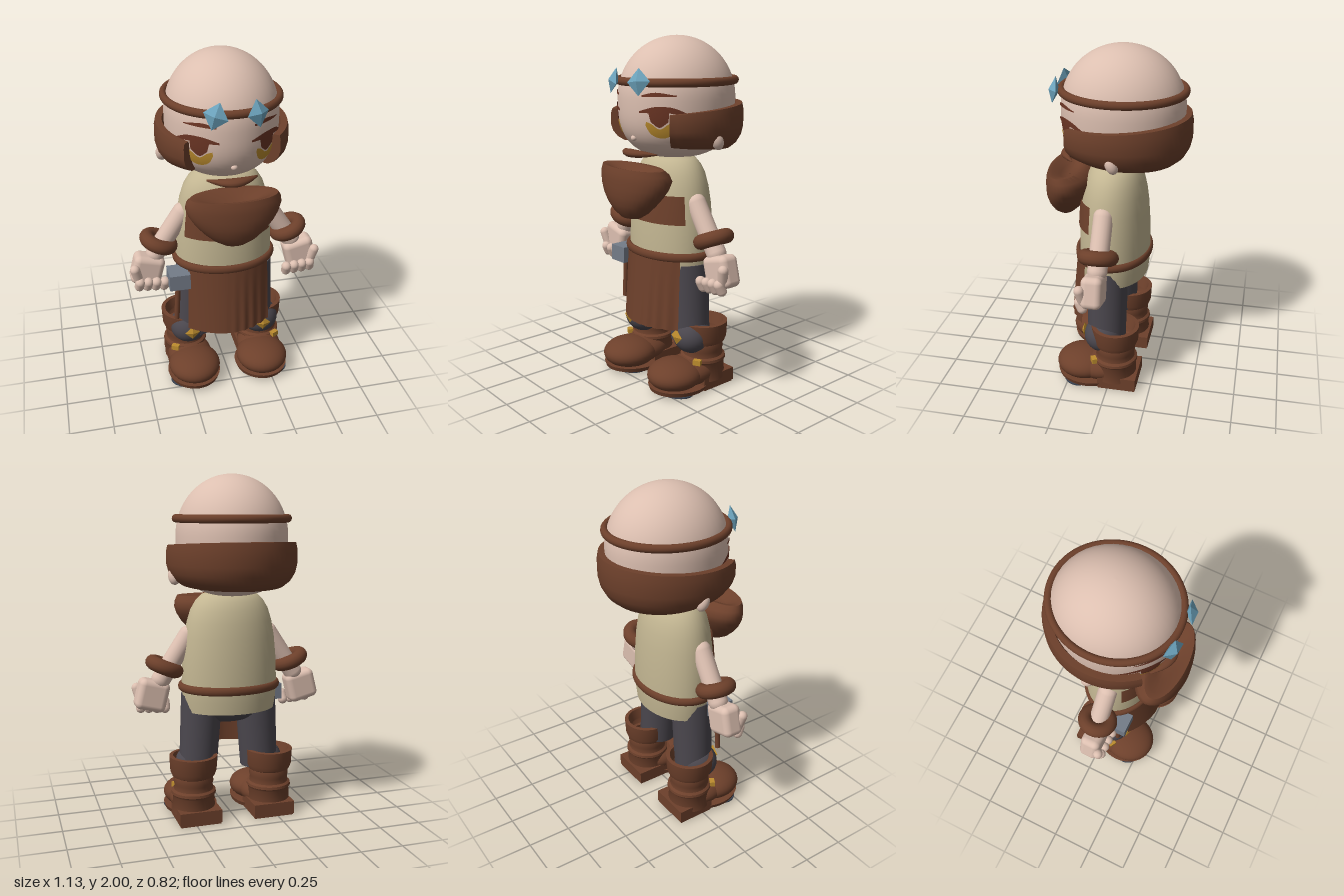
import * as THREE from 'three';
import { toCreasedNormals } from 'three/addons/utils/BufferGeometryUtils.js';
import { RoundedBoxGeometry } from 'three/addons/geometries/RoundedBoxGeometry.js';

const material = (name, color, side = THREE.FrontSide) => {
  const m = new THREE.MeshStandardMaterial({ color, side });
  m.name = name;
  return m;
};
const V = (x, y, z) => new THREE.Vector3(x, y, z);
const lerp = THREE.MathUtils.lerp;

// Surface through a grid of points; rows may be closed rings with capped ends
function loft(rows, { ring = false, caps = false, crease = 0.7 } = {}) {
  const n = rows[0].length, pos = [], idx = [];
  rows.forEach(r => r.forEach(p => pos.push(p.x, p.y, p.z)));
  for (let i = 0; i < rows.length - 1; i++) {
    for (let j = 0; j < (ring ? n : n - 1); j++) {
      const a = i * n + j, b = i * n + (j + 1) % n;
      idx.push(a, b, a + n, b, b + n, a + n);
    }
  }
  if (caps) {
    const e = (rows.length - 1) * n;
    for (let j = 1; j < n - 1; j++) idx.push(0, j + 1, j, e, e + j, e + j + 1);
  }
  const g = new THREE.BufferGeometry();
  g.setAttribute('position', new THREE.Float32BufferAttribute(pos, 3));
  g.setIndex(idx);
  return toCreasedNormals(g, crease);
}

const lathe = (pts, start = 0, len = Math.PI * 2) =>
  new THREE.LatheGeometry(pts.map(p => new THREE.Vector2(p[0], p[1])), 40, start, len);

// Head: round crown, fuller jaw
const HEAD = { y: 1.66, z: -0.03, rx: 0.315, ry: 0.34, rz: 0.345 };
const headProfile = t => t > 0 ? Math.sqrt(Math.max(0, 1 - t * t))
  : Math.pow(Math.max(0, 1 - Math.pow(-t, 3)), 0.4);
const headZ = (x, y) => {
  const s = headProfile((y - HEAD.y) / HEAD.ry);
  return HEAD.z + HEAD.rz * Math.sqrt(Math.max(0, s * s - (x / HEAD.rx) ** 2));
};

// Thin painted patch between two curves, wrapped on the face
function facePatch(top, bottom, s) {
  const curve = pts => new THREE.CatmullRomCurve3(pts.map(p => V(p[0], p[1], 0)));
  const a = curve(top), b = curve(bottom), rows = [];
  for (let i = 0; i <= 16; i++) {
    const p = a.getPoint(i / 16), q = b.getPoint(i / 16), row = [];
    for (let j = 0; j <= 5; j++) {
      const x = lerp(p.x, q.x, j / 5), y = lerp(p.y, q.y, j / 5);
      row.push(V(x * s, y, headZ(x, y) + 0.006));
    }
    rows.push(row);
  }
  return loft(rows, { crease: 1.5 });
}

export function createModel() {
  const D = THREE.DoubleSide;
  const skin = material('skin', 0xdcbfb0), leather = material('leather brown', 0x6d402b, D);
  const cloth = material('tunic cloth', 0xc3b692, D), trouser = material('trouser grey', 0x4b474e);
  const gold = material('gold', 0xbd8d2e, D), crystal = material('crystal blue', 0x6ca3bc);
  const iron = material('iron grey', 0x747c88), eyeBrown = material('eye brown', 0x6b3524, D);
  const soleBlue = material('sole blue', 0x3a4352);
  crystal.flatShading = true;

  const root = new THREE.Group();
  const add = (name, geo, mat, p = [0, 0, 0], r = [0, 0, 0], sc = [1, 1, 1]) => {
    const m = new THREE.Mesh(geo, mat);
    m.name = name;
    m.position.set(...p);
    m.rotation.set(...r);
    m.scale.set(...sc);
    root.add(m);
    return m;
  };
  const ball = (name, mat, p, sc, r) => add(name, new THREE.SphereGeometry(1, 32, 20), mat, p, r, sc);

  // Head and nose
  const headPts = [];
  for (let i = 0; i <= 40; i++) {
    const t = -Math.cos(Math.PI * i / 40);
    headPts.push([headProfile(t), t]);
  }
  add('head', lathe(headPts), skin, [0, HEAD.y, HEAD.z], [0, 0, 0], [HEAD.rx, HEAD.ry, HEAD.rz]);
  ball('nose', skin, [0, 1.45, headZ(0, 1.45)], [0.018, 0.016, 0.016]);

  // Hair band wrapping the back of the head
  const hairRows = [];
  const section = [[0.72, 0], [0.8, 0], [0.9, 0.12], [0.97, 0.3], [1, 0.5], [1, 0.85], [0.98, 1], [0.88, 1]];
  for (let i = 0; i <= 48; i++) {
    const a = lerp(0.78, Math.PI * 2 - 0.78, i / 48), back = Math.sin(Math.PI * i / 48);
    const lo = lerp(1.41, 1.37, back), hi = lerp(1.59, 1.635, back);
    hairRows.push(section.map(([k, f]) =>
      V(0.37 * k * Math.sin(a), lerp(lo, hi, f), -0.03 + 0.385 * k * Math.cos(a))));
  }
  add('hair', loft(hairRows, { ring: true, caps: true }), leather);

  // Headband with two crystals
  add('headband', new THREE.TorusGeometry(0.315, 0.02, 12, 64).rotateX(Math.PI / 2), leather,
    [0, 1.755, -0.03], [0, 0, 0], [1, 1.15, 1.08]);
  for (const s of [1, -1]) {
    add('headbandCrystal', new THREE.OctahedronGeometry(1), crystal,
      [s * 0.11, 1.76, 0.33], [-0.2, s * 0.4, s > 0 ? 0.15 : -0.35], [0.068, 0.074, 0.03]);
  }

  // Ears and face paint
  for (const s of [1, -1]) {
    ball('ear', skin, [s * 0.335, 1.44, -0.03], [0.035, 0.052, 0.034], [0.4, 0, 0]);
    add('eyebrow', facePatch([[0.1, 1.69], [0.17, 1.705], [0.25, 1.69]],
      [[0.1, 1.68], [0.17, 1.683], [0.25, 1.685]], s), eyeBrown);
    add('eyelash', facePatch([[0.085, 1.605], [0.17, 1.63], [0.24, 1.625], [0.285, 1.59]],
      [[0.085, 1.595], [0.17, 1.597], [0.24, 1.595], [0.28, 1.58]], s), eyeBrown);
    add('iris', facePatch([[0.135, 1.6], [0.18, 1.6], [0.225, 1.6]],
      [[0.145, 1.55], [0.18, 1.52], [0.22, 1.55]], s), eyeBrown);
    add('irisGlow', facePatch([[0.12, 1.55], [0.145, 1.54], [0.18, 1.51], [0.22, 1.54], [0.24, 1.55]],
      [[0.115, 1.53], [0.135, 1.48], [0.178, 1.46], [0.22, 1.48], [0.245, 1.53]], s), gold);
  }

  // Moustache: tapered bar
  const barRows = [];
  for (let i = 0; i <= 20; i++) {
    const x = lerp(-0.14, 0.14, i / 20), k = 1 - (x / 0.14) ** 2, row = [];
    for (let j = 0; j < 12; j++) {
      const a = Math.PI * j / 6;
      row.push(V(x, 1.368 + (0.004 + 0.019 * k) * Math.sin(a), 0.235 + 0.06 * k + (0.006 + 0.028 * k) * Math.cos(a)));
    }
    barRows.push(row);
  }
  add('moustache', loft(barRows, { ring: true, caps: true, crease: 1.2 }), leather);

  // Tunic, chest bib and belt
  add('tunic', lathe([[0.27, 0.65], [0.28, 0.72], [0.285, 0.8], [0.28, 0.95], [0.268, 1.08], [0.252, 1.17],
    [0.23, 1.24], [0.2, 1.29], [0.165, 1.325], [0.11, 1.345], [0, 1.35]]), cloth, [0, 0, 0.015], [0, 0, 0], [1, 1, 0.72]);
  add('chestBib', lathe([[0.286, 0.975], [0.278, 1.06], [0.267, 1.135]], -1.05, 2.1), leather,
    [0, 0, 0.018], [0, 0, 0], [1, 1, 0.72]);
  add('belt', new THREE.TorusGeometry(0.285, 0.02, 12, 64).rotateX(Math.PI / 2), leather,
    [0, 0.79, 0.02], [0, 0, 0], [1, 1.25, 0.74]);

  // Beard: stacked rings [halfWidth, y, frontZ, backZ], cupped on top
  const beard = [[0.005, 1, 0.31, 0.29], [0.07, 1.012, 0.35, 0.26], [0.125, 1.045, 0.38, 0.225], [0.175, 1.09, 0.4, 0.195],
    [0.22, 1.14, 0.41, 0.165], [0.25, 1.185, 0.41, 0.145], [0.266, 1.23, 0.408, 0.13], [0.26, 1.265, 0.403, 0.15],
    [0.242, 1.295, 0.392, 0.19], [0.2, 1.29, 0.37, 0.21], [0.12, 1.255, 0.33, 0.24], [0.005, 1.235, 0.29, 0.28]];
  add('beard', loft(beard.map(([w, y, f, b]) => Array.from({ length: 40 }, (_, j) => {
    const a = Math.PI * j / 20;
    return V(w * Math.sin(a), y, (f + b) / 2 + (f - b) / 2 * Math.cos(a));
  })), { ring: true, crease: 0.9 }), leather);

  // Apron with soft pleats towards the hem
  const apronRows = [];
  for (let i = 0; i <= 8; i++) {
    const v = i / 8, row = [];
    for (let j = 0; j <= 48; j++) {
      const u = j / 24 - 1;
      const pleat = 0.006 * v * Math.sin(u * 26) * THREE.MathUtils.smoothstep(u, -0.3, 0.5);
      row.push(V(u * lerp(0.236, 0.246, v), lerp(0.775, 0.37, v),
        lerp(0.237, 0.272, v) - lerp(0.09, 0.105, v) * u * u + pleat));
    }
    apronRows.push(row);
  }
  add('apron', loft(apronRows, { crease: 1.2 }), leather);

  // Hammer hanging at the belt
  add('hammerHead', new THREE.BoxGeometry(0.12, 0.095, 0.13), iron, [-0.29, 0.71, 0.125]);
  add('hammerHandle', new THREE.CylinderGeometry(0.016, 0.016, 0.25, 12), leather, [-0.3, 0.55, 0.125], [0, 0, -0.06]);

  // Hips
  ball('hips', trouser, [0, 0.69, 0.035], [0.287, 0.13, 0.15]);

  for (const s of [1, -1]) {
    // Arm, bracelet and fist
    add('arm', new THREE.CapsuleGeometry(0.056, 0.3, 8, 20), skin, [s * 0.325, 0.965, 0.035], [0, 0, s * 0.58]);
    add('bracelet', new THREE.TorusGeometry(0.073, 0.042, 14, 36).rotateX(Math.PI / 2), leather,
      [s * 0.385, 0.915, 0.035], [0, 0, s * 0.4]);
    add('palm', new RoundedBoxGeometry(0.18, 0.18, 0.12, 4, 0.035), skin, [s * 0.46, 0.75, 0.045], [0, 0, s * 0.25]);
    for (let i = 0; i < 4; i++) {
      add('finger', new THREE.CapsuleGeometry(0.029, 0.04, 6, 12), skin,
        [s * (0.37 + 0.048 * i), 0.668 + 0.004 * i, 0.105], [0.45, 0, s * 0.1]);
    }
    add('thumb', new THREE.CapsuleGeometry(0.029, 0.08, 6, 12), skin, [s * 0.527, 0.745, 0.1], [0.2, 0, s * -0.25]);

    // Trouser leg with bulging shin
    add('leg', new THREE.CylinderGeometry(0.122, 0.112, 0.45, 32), trouser, [s * 0.178, 0.51, 0.03], [0, 0, s * 0.06]);
    ball('shin', trouser, [s * 0.225, 0.31, 0.045], [0.112, 0.105, 0.112]);

    // Boot: turned cuff and shaft, foot, heel and sole
    add('bootShaft', toCreasedNormals(lathe([[0.128, 0.05], [0.122, 0.15], [0.132, 0.165], [0.13, 0.18], [0.116, 0.19],
      [0.112, 0.22], [0.118, 0.235], [0.112, 0.265], [0.125, 0.272], [0.136, 0.3], [0.141, 0.39], [0.118, 0.392], [0.1, 0.33]]), 0.7),
      leather, [s * 0.235, 0, -0.03]);
    ball('bootToe', leather, [s * 0.213, 0.1, 0.165], [0.155, 0.088, 0.165]);
    ball('bootInstep', leather, [s * 0.222, 0.1, 0.06], [0.135, 0.085, 0.17]);
    add('bootHeel', new THREE.BoxGeometry(0.25, 0.075, 0.23), leather, [s * 0.225, 0.0475, -0.055]);
    add('bootSole', new THREE.CylinderGeometry(1, 0.95, 0.025, 40), leather, [s * 0.213, 0.028, 0.14], [-0.04, 0, 0], [0.16, 1, 0.185]);
    add('solePatch', new THREE.CylinderGeometry(1, 1, 0.008, 40), soleBlue, [s * 0.22, 0.014, 0.19], [-0.04, 0, 0], [0.145, 1, 0.1]);
    add('heelPlate', new THREE.BoxGeometry(0.24, 0.02, 0.22), leather, [s * 0.225, 0.01, -0.055]);

    // Buckles
    add('shinBuckle', new THREE.OctahedronGeometry(1), gold, [s * 0.22, 0.325, 0.16], [0, 0, 0], [0.046, 0.046, 0.016]);
    add('ankleBuckle', new THREE.BoxGeometry(0.045, 0.03, 0.03), gold, [s * 0.315, 0.178, 0.085], [0, s * 0.5, 0]);
  }
  return root;
}
